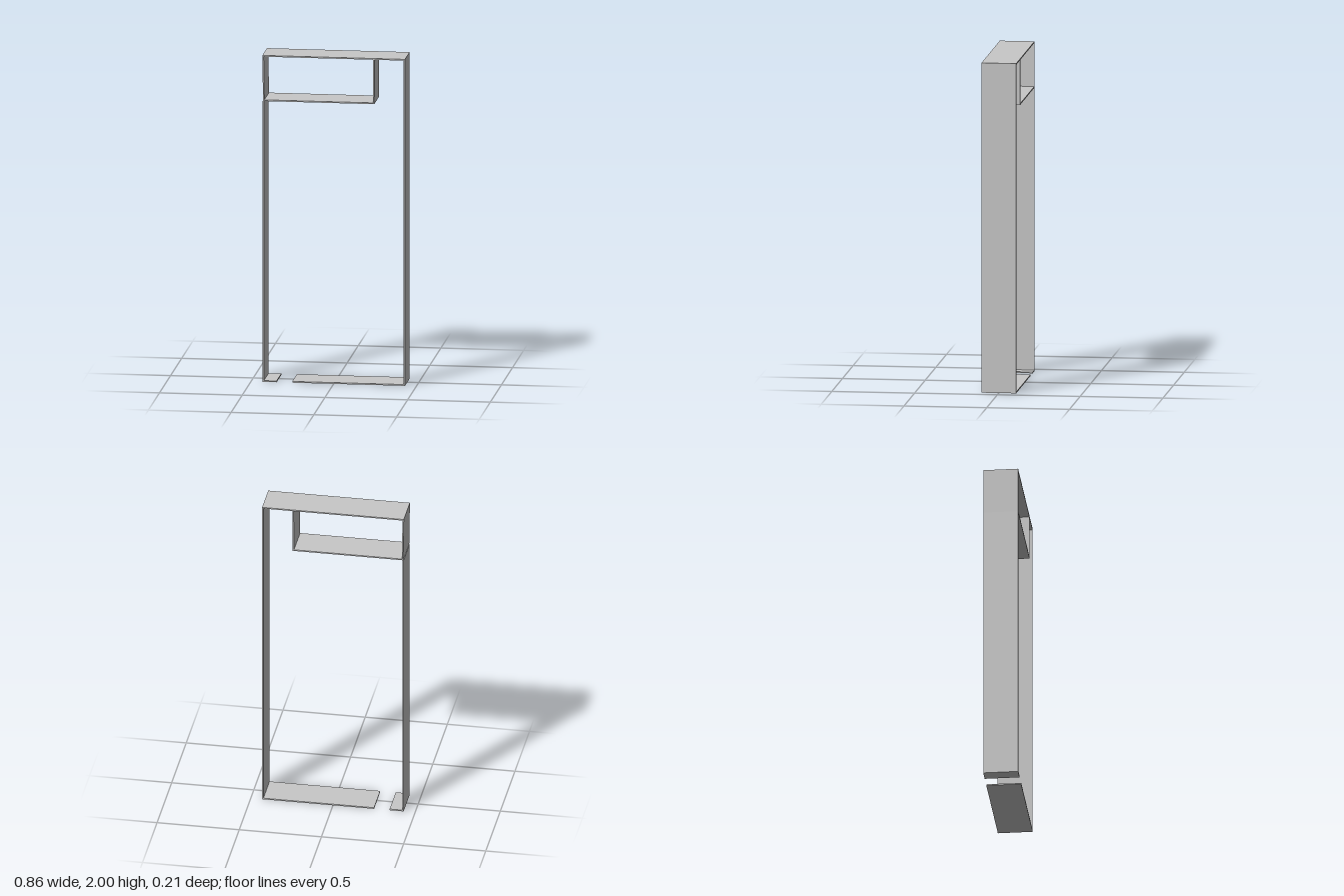
import * as THREE from 'three';

const DEPTH = 0.21;
const T = 0.008; // board thickness

export function createModel() {
  const group = new THREE.Group();
  const grey = new THREE.MeshStandardMaterial({ color: 0xc8c8c8 });
  grey.name = 'light grey';

  // Board spanning x0..x1 and y0..y1 over the full depth; lean shifts its top sideways
  function board(name, x0, x1, y0, y1, lean = 0) {
    const shape = new THREE.Shape([
      new THREE.Vector2(x0, y0),
      new THREE.Vector2(x1, y0),
      new THREE.Vector2(x1 + lean, y1),
      new THREE.Vector2(x0 + lean, y1),
    ]);
    const geometry = new THREE.ExtrudeGeometry(shape, { depth: DEPTH, bevelEnabled: false });
    geometry.translate(0, 0, -DEPTH / 2);
    const mesh = new THREE.Mesh(geometry, grey);
    mesh.name = name;
    group.add(mesh);
  }

  const W = 0.431; // half width
  const SHELF = 1.72;

  // Outer frame
  board('topBoard', -W, W, 2 - T, 2);
  board('leftWall', W - T, W, 0, 2 - T);
  board('rightWallLower', -W + 0.001, -W + 0.001 + T, 0, SHELF);
  board('rightWallUpper', -W + 0.004, -W + 0.004 + T, SHELF, 2 - T, -0.004);

  // Floor strips with the gap between them
  board('floorLong', -0.25, W - T, 0, T);
  board('floorShort', -W + 0.001 + T, -0.345, 0, T);

  // Upper compartment
  board('shelf', -W + 0.004 + T, 0.245, SHELF, SHELF + T);
  board('compartmentDivider', 0.237, 0.237 + T, SHELF + T, 2 - T, 0.002);

  return group;
}
